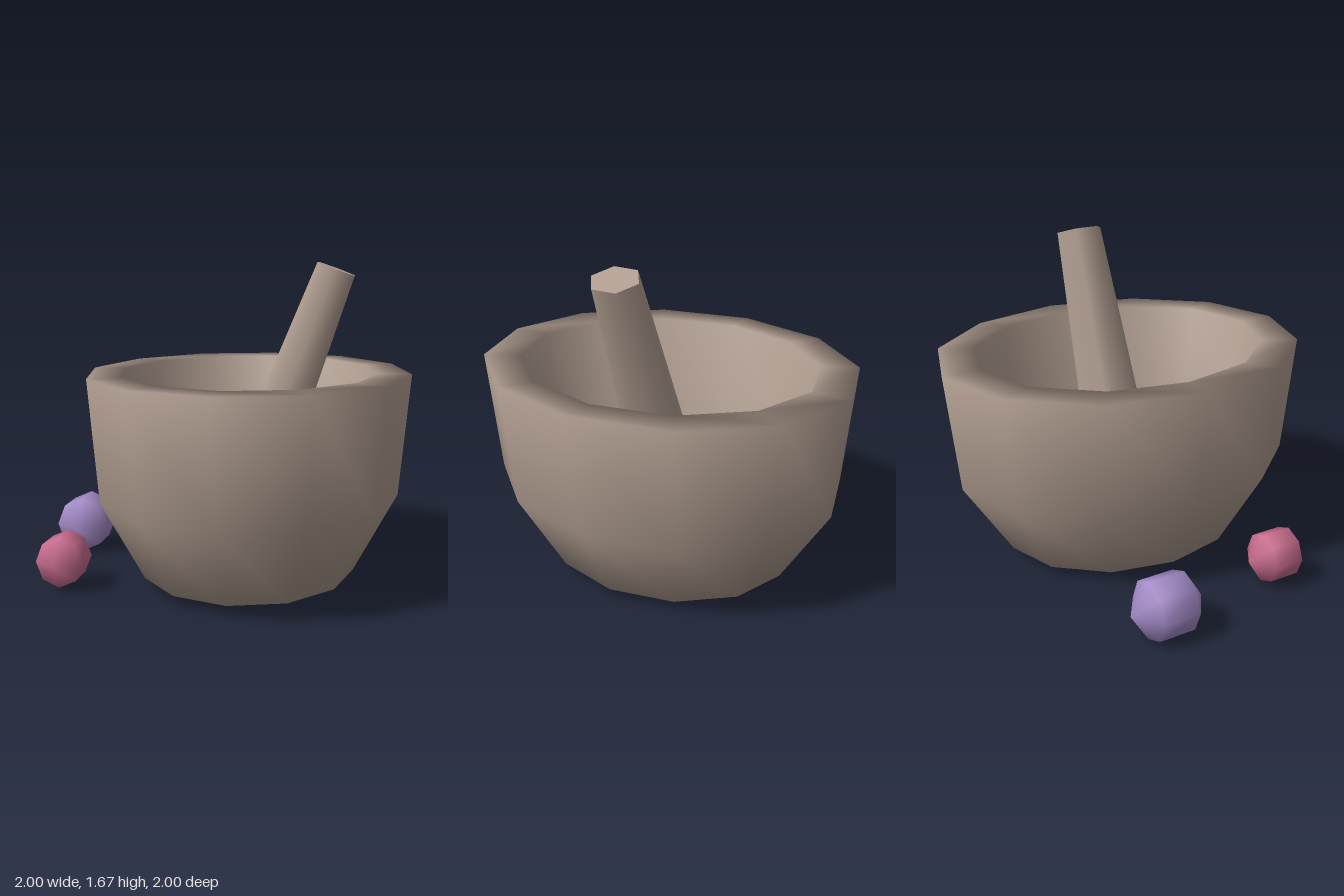
import * as THREE from 'three';

const SQUASH = 0.84; // the whole set is narrower in x than in z

export function createModel() {
  const group = new THREE.Group();
  const material = (name, color) => {
    const m = new THREE.MeshStandardMaterial({ color });
    m.name = name;
    return m;
  };
  const stone = material('stone', 0xb09d90);
  const purple = material('purple', 0xa48bc8);
  const pink = material('pink', 0xc86c8e);

  const add = (name, geometry, mat, x, y, z) => {
    const mesh = new THREE.Mesh(geometry, mat);
    mesh.name = name;
    mesh.position.set(x, y, z);
    group.add(mesh);
    return mesh;
  };

  // Bowl: twelve-sided, thick-walled, smooth across the rim
  const profile = [
    [0, 0.06], [0.67, 0.06], [0.935, 0.48], [1, 1.11],
    [0.8, 1.11], [0.75, 0.55], [0.52, 0.28], [0, 0.27],
  ].map(([r, y]) => new THREE.Vector2(r, y));
  const bowl = add('bowl', new THREE.LatheGeometry(profile, 12), stone, 0.16, 0, 0);
  bowl.scale.x = SQUASH;

  // Pestle: six-sided, leaning to the left, wide end on the bowl floor
  const length = 1.3;
  const pestleShape = new THREE.CylinderGeometry(0.133, 0.2, length, 6);
  pestleShape.translate(0, length / 2, 0);
  const pestle = add('pestle', pestleShape, stone, 0.157, 0.42, 0);
  pestle.scale.x = SQUASH;
  pestle.rotation.z = -THREE.MathUtils.degToRad(20.2);

  // Berries: coarse spheres with their poles along z
  const berry = (name, mat, r, x, z) => {
    const shape = new THREE.SphereGeometry(r, 8, 3).rotateX(Math.PI / 2);
    add(name, shape, mat, x, 0.16, z).scale.set(SQUASH + 0.015, 0.915, 1);
  };
  berry('purpleBerry', purple, 0.196, -0.855, -0.335);
  berry('pinkBerry', pink, 0.165, -0.742, 0.397);

  return group;
}
